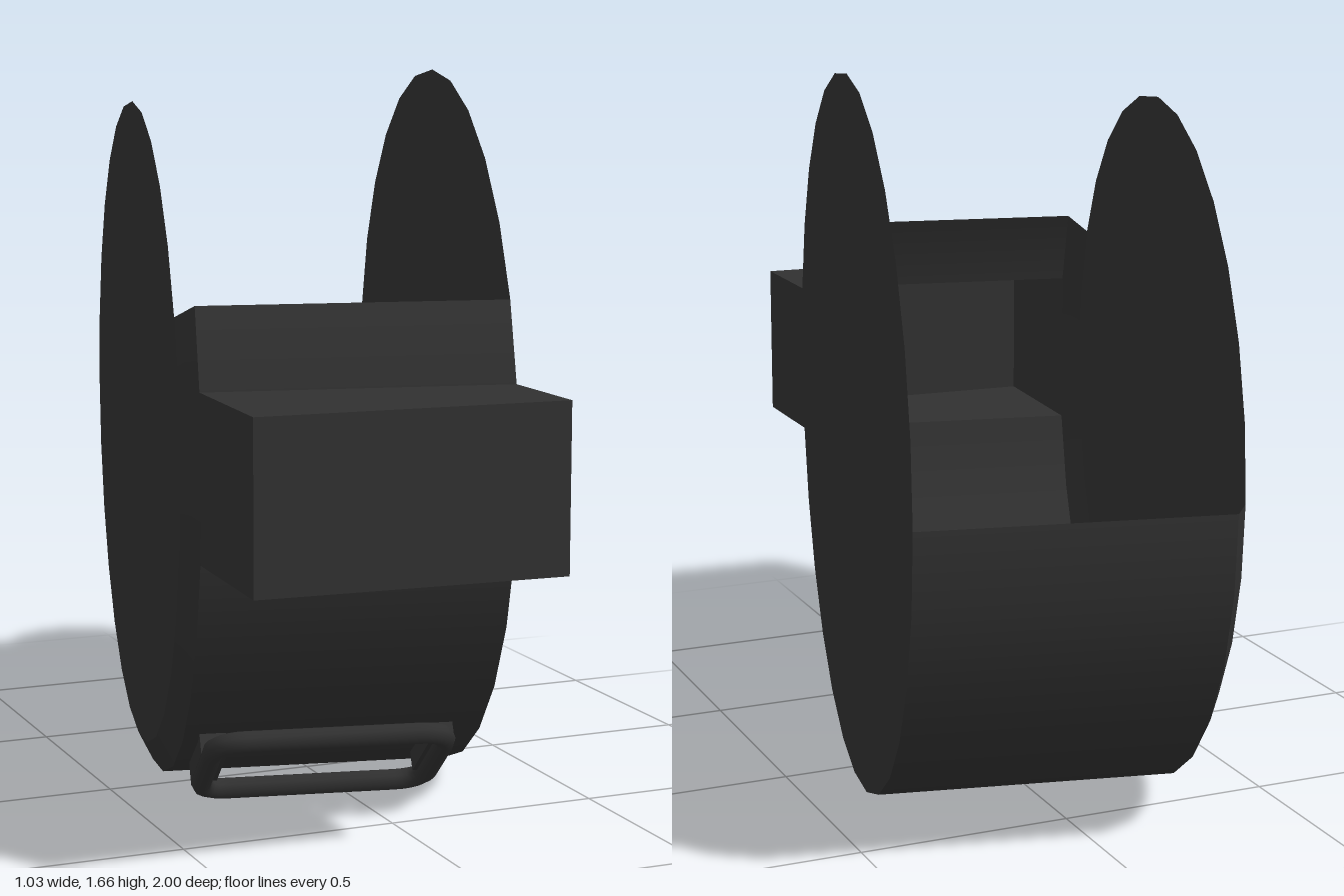
import * as THREE from 'three';

const dark = new THREE.MeshStandardMaterial({ color: 0x303030, side: THREE.DoubleSide });
dark.name = 'dark grey';

const STEP = (Math.PI * 2) / 28; // one facet of the drum
const R = 0.83, R_CAP = 0.76, END = 0.36, BEVEL = 0.325;

function add(parent, name, geometry) {
  const mesh = new THREE.Mesh(geometry, dark);
  mesh.name = name;
  parent.add(mesh);
  return mesh;
}

// Part of a drum along x; facets count from the front, down and round to the back
function drumArc(profile, first, count) {
  const points = profile.map(([r, u]) => new THREE.Vector2(r, u));
  return new THREE.LatheGeometry(points, count, first * STEP, count * STEP).rotateZ(-Math.PI / 2);
}

// Flat-sided block pushed out of the drum front, open towards the inside
function frontBlockGeometry() {
  const h = R * Math.sin(STEP), v = R * Math.cos(STEP);
  const ring = (x0, z0, x1, z1) => [[x0, -h, z0], [x1, -h, z1], [x1, h, z1], [x0, h, z0]];
  const back = ring(-BEVEL, v, END, v);
  const front = ring(-0.271, 1.165, 0.412, 1.057);
  const pos = [];
  const quad = (a, b, c, d) => pos.push(...a, ...b, ...c, ...a, ...c, ...d);
  for (let i = 0; i < 4; i++) {
    const j = (i + 1) % 4;
    quad(back[i], back[j], front[j], front[i]);
  }
  quad(...front);
  const g = new THREE.BufferGeometry();
  g.setAttribute('position', new THREE.Float32BufferAttribute(pos, 3));
  g.computeVertexNormals();
  return g;
}

// Rounded rectangular loop in the xy plane
function loopGeometry(halfW, halfH, corner, tube) {
  const path = new THREE.CurvePath();
  const P = (x, y) => new THREE.Vector3(x, y, 0);
  const sides = [[1, 1], [-1, 1], [-1, -1], [1, -1]];
  sides.forEach(([sx, sy], i) => {
    const alongX = P(sx * (halfW - corner), sy * halfH);
    const alongY = P(sx * halfW, sy * (halfH - corner));
    const [a, b] = i % 2 ? [alongX, alongY] : [alongY, alongX];
    path.add(new THREE.QuadraticBezierCurve3(a, P(sx * halfW, sy * halfH), b));
    const [nx, ny] = sides[(i + 1) % 4];
    const next = i % 2 ? P(nx * halfW, ny * (halfH - corner)) : P(nx * (halfW - corner), ny * halfH);
    path.add(new THREE.LineCurve3(b, next));
  });
  return new THREE.TubeGeometry(path, 80, tube, 8, true);
}

export function createModel() {
  const model = new THREE.Group();
  const drum = new THREE.Group();
  drum.name = 'drum';
  drum.position.set(-0.008, 0.86, -0.123);
  drum.rotation.y = -THREE.MathUtils.degToRad(12);
  model.add(drum);

  // Wall: smooth lower shell, flat lip above the front block, bevel at one end
  const wall = [[R, -BEVEL], [R, END]];
  add(drum, 'lowerShell', drumArc(wall, 1, 13));
  add(drum, 'frontLip', drumArc(wall, -2, 1));
  add(drum, 'bevel', drumArc([[R_CAP, -END], [R, -BEVEL]], -2, 16));

  // Round side plates
  add(drum, 'leftPlate', new THREE.CircleGeometry(R, 28).rotateY(Math.PI / 2)).position.x = END;
  add(drum, 'rightPlate', new THREE.CircleGeometry(R_CAP, 28).rotateY(-Math.PI / 2)).position.x = -END;

  add(drum, 'frontBlock', frontBlockGeometry());

  // Loop handle under the front, held by two mounts
  const handle = new THREE.Group();
  handle.name = 'handle';
  handle.rotation.x = THREE.MathUtils.degToRad(56); // its z axis points out of the drum
  drum.add(handle);
  add(handle, 'handleLoop', loopGeometry(0.265, 0.165, 0.07, 0.025)).position.z = 0.866;
  for (const side of [-1, 1]) {
    add(handle, 'handleMount', new THREE.BoxGeometry(0.06, 0.2, 0.05)).position.set(side * 0.26, 0, 0.842);
  }
  return model;
}
